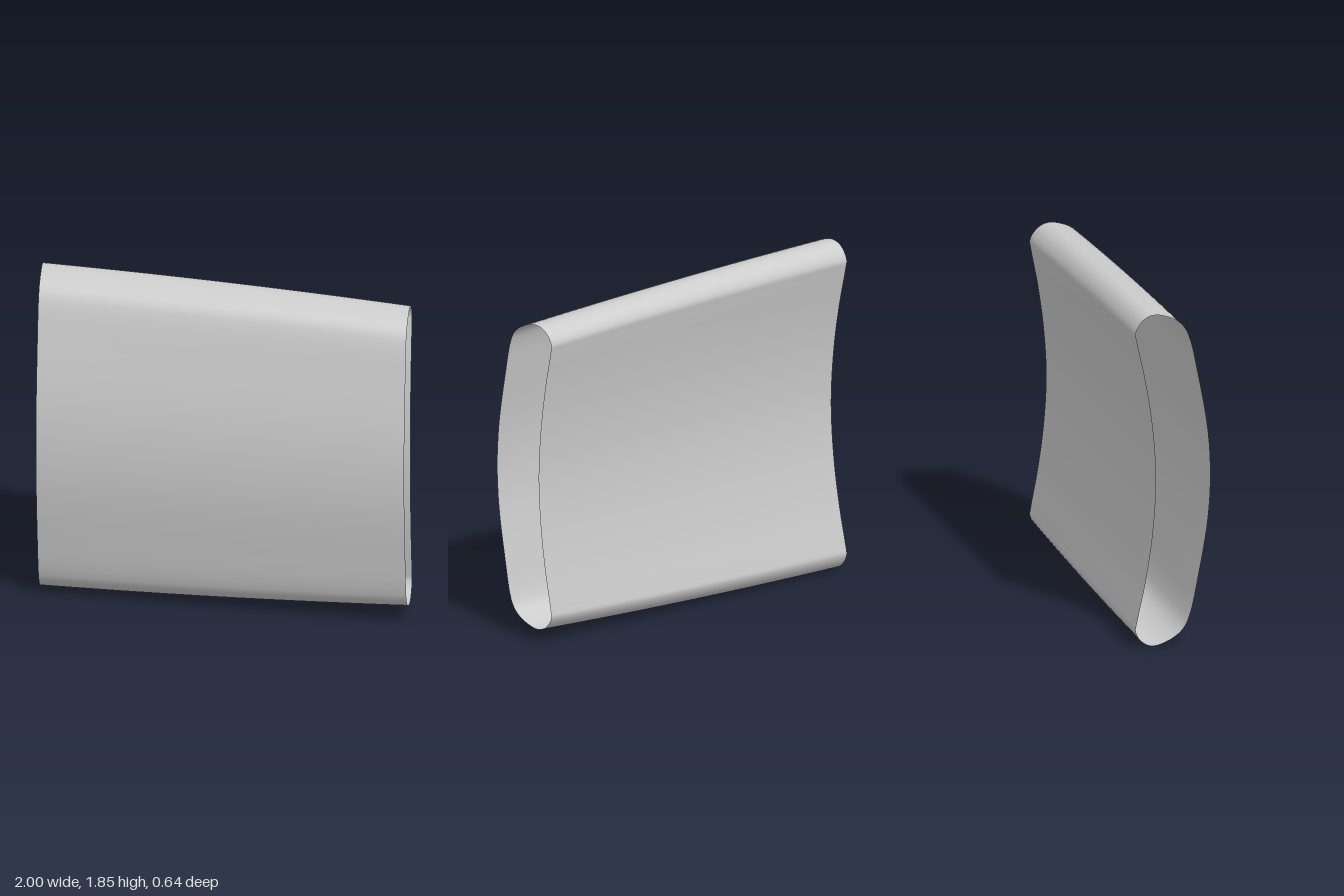
import * as THREE from 'three';

// Upper half of the cross-section, from mid front over the rim to mid back:
// [depth behind the front face, height from -1 to 1]
const HALF = [
  [0, 0], [0.012, 0.26], [0.057, 0.587], [0.107, 0.861], [0.147, 0.931],
  [0.222, 0.981], [0.307, 1], [0.367, 0.972], [0.41, 0.902], [0.405, 0.844],
  [0.367, 0.616], [0.332, 0.33], [0.315, 0],
];

// Closed, smooth cross-section, mirrored top to bottom
function sectionPoints(perSpan) {
  const lower = HALF.slice(1, -1).reverse().map(([d, v]) => [d, -v]);
  const pts = [...HALF, ...lower].map(([d, v]) => new THREE.Vector3(0, v, d));
  const curve = new THREE.CatmullRomCurve3(pts, true, 'centripetal');
  return curve.getPoints(pts.length * perSpan).slice(0, -1);
}

// Loft the section along x: it leans forward, loses height and flattens its bow
function sleeveGeometry() {
  const section = sectionPoints(4);
  const n = section.length, steps = 20;
  const positions = [], index = [];
  for (let i = 0; i <= steps; i++) {
    const u = i / steps;
    const half = 0.923 - 0.02 * u - 0.047 * u * u;
    const front = THREE.MathUtils.lerp(0.118, 0.322, u);
    for (const p of section) {
      const bow = 0.028 * (1 - u) * p.y * p.y;
      positions.push(-1 + 2 * u, 0.923 + half * p.y, front - p.z - bow);
    }
  }
  for (let i = 0; i < steps; i++) {
    for (let j = 0; j < n; j++) {
      const k = (j + 1) % n;
      const a = i * n + j, b = a + n, c = i * n + k, d = c + n;
      index.push(a, b, c, b, d, c);
    }
  }
  const g = new THREE.BufferGeometry();
  g.setAttribute('position', new THREE.Float32BufferAttribute(positions, 3));
  g.setIndex(index);
  g.computeVertexNormals();
  return g;
}

export function createModel() {
  const group = new THREE.Group();
  // Thin curved sleeve, open at both ends
  const material = new THREE.MeshStandardMaterial({ color: 0xcccccc, side: THREE.DoubleSide });
  const sleeve = new THREE.Mesh(sleeveGeometry(), material);
  sleeve.name = 'curvedSleeve';
  group.add(sleeve);
  return group;
}
